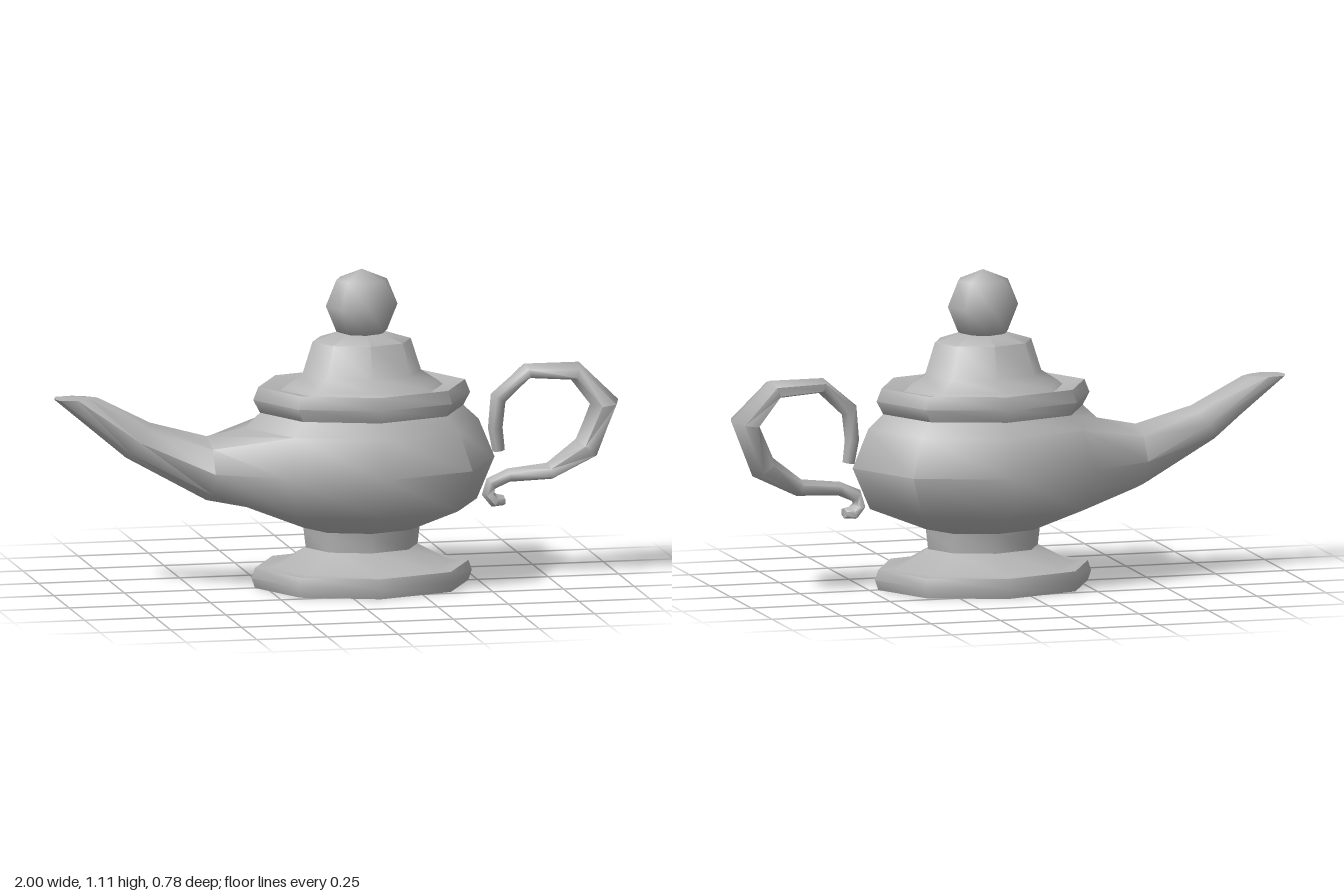
import * as THREE from 'three';
import { mergeGeometries, toCreasedNormals } from 'three/addons/utils/BufferGeometryUtils.js';

const CX = 0.09;      // axis of the turned parts
const STRETCH = 1.2;  // turned parts are longer along x than along z
const CREASE = 1.0;

// Eight-sided turned shape from [radius, height] pairs, listed bottom to top
function turned(profile, segments = 8, start = 0, sweep = Math.PI * 2) {
  const points = profile.map(([r, y]) => new THREE.Vector2(r, y));
  return new THREE.LatheGeometry(points, segments, start, sweep)
    .scale(STRETCH, 1, 1).translate(CX, 0, 0);
}

// Skin over closed rings of points, with optional end caps
function loft(rings, capStart, capEnd) {
  const n = rings[0].length;
  const tris = [];
  for (let i = 0; i < rings.length - 1; i++) {
    for (let k = 0; k < n; k++) {
      const a = rings[i][k], b = rings[i][(k + 1) % n];
      const c = rings[i + 1][k], d = rings[i + 1][(k + 1) % n];
      tris.push(a, c, b, b, c, d);
    }
  }
  const first = rings[0], last = rings[rings.length - 1];
  for (let k = 1; k < n - 1; k++) {
    if (capStart) tris.push(first[0], first[k], first[k + 1]);
    if (capEnd) tris.push(last[0], last[k + 1], last[k]);
  }
  return new THREE.BufferGeometry().setFromPoints(tris);
}

// Mirror half a ring (top, upper side, side, lower side, bottom) across z = 0
function mirroredRing(half) {
  const pts = half.map(p => new THREE.Vector3(...p));
  const back = pts.slice(1, -1).reverse().map(p => new THREE.Vector3(p.x, p.y, -p.z));
  return [...pts, ...back];
}

function bare(geometry) {
  const g = geometry.index ? geometry.toNonIndexed() : geometry;
  g.deleteAttribute('uv');
  g.deleteAttribute('normal');
  return g;
}

export function createModel() {
  const group = new THREE.Group();
  const metal = new THREE.MeshStandardMaterial({ color: 0xb4b4b4 });
  metal.name = 'grey metal';

  const add = (name, geometries, crease = CREASE) => {
    const merged = mergeGeometries(geometries.map(bare));
    const mesh = new THREE.Mesh(toCreasedNormals(merged, crease), metal);
    mesh.name = name;
    group.add(mesh);
  };

  // Foot: flat plate and flared stem
  add('foot', [turned([[0, 0], [0.315, 0], [0.325, 0.035], [0.315, 0.07], [0.265, 0.07],
    [0.165, 0.135], [0.172, 0.205]])]);

  // Bowl, left open where the spout grows out of its side
  const low = [0.34, 0.285], mid = [0.392, 0.43], high = [0.345, 0.565];
  const bowl = [
    turned([[0.172, 0.205], low]),
    turned([low, mid, high], 6, Math.PI * 1.75, Math.PI * 1.5),
    turned([high, [0.3, 0.615]]),
  ];

  // Spout: starts on the edge of the opening, narrows and turns up
  const h = Math.SQRT1_2;
  const edge = ([r, y]) => [CX - r * STRETCH * h, y, r * h];
  const front = ([r, y]) => [CX - r * STRETCH, y, 0];
  const spoutRings = [
    [front(high), edge(high), edge(mid), edge(low), front(low)],
    [[-0.46, 0.54, 0], [-0.46, 0.51, 0.105], [-0.46, 0.43, 0.155], [-0.46, 0.35, 0.115], [-0.46, 0.315, 0]],
    [[-0.66, 0.595, 0], [-0.673, 0.578, 0.05], [-0.705, 0.535, 0.075], [-0.735, 0.493, 0.055], [-0.745, 0.475, 0]],
    [[-0.845, 0.69, 0], [-0.88, 0.69, 0.034], [-0.925, 0.69, 0.055], [-0.985, 0.69, 0.045], [-1, 0.69, 0]],
  ].map(mirroredRing);
  add('bowlAndSpout', [...bowl, loft(spoutRings, false, true)]);

  // Collar and stepped lid
  add('collar', [turned([[0.28, 0.612], [0.3, 0.615], [0.32, 0.66], [0.305, 0.705], [0.235, 0.69]])]);
  add('lid', [turned([[0.24, 0.69], [0.225, 0.706], [0.175, 0.745], [0.145, 0.857], [0.07, 0.885], [0, 0.885]])]);

  // Knob
  add('knob', [new THREE.SphereGeometry(0.127, 8, 4).translate(CX, 0.98, 0)], 1.3);

  // Handle: [x, y, half thickness, half width] along a loop ending in a curl
  const path = [
    [0.575, 0.45, 0.022, 0.025], [0.563, 0.53, 0.026, 0.032], [0.573, 0.635, 0.03, 0.045],
    [0.675, 0.726, 0.027, 0.06], [0.845, 0.72, 0.034, 0.078], [0.949, 0.607, 0.05, 0.1],
    [0.885, 0.45, 0.048, 0.088], [0.755, 0.372, 0.03, 0.06], [0.61, 0.362, 0.024, 0.042],
    [0.548, 0.335, 0.024, 0.042], [0.537, 0.3, 0.022, 0.044], [0.56, 0.275, 0.024, 0.05],
    [0.592, 0.275, 0.018, 0.035],
  ];
  const handleRings = path.map(([x, y, thick, wide], i) => {
    const p = path[Math.max(i - 1, 0)], q = path[Math.min(i + 1, path.length - 1)];
    const t = new THREE.Vector2(q[0] - p[0], q[1] - p[1]).normalize();
    return Array.from({ length: 6 }, (_, k) => {
      const a = k * Math.PI / 3, c = Math.cos(a) * thick;
      return new THREE.Vector3(x + t.y * c, y - t.x * c, Math.sin(a) * wide);
    });
  });
  add('handle', [loft(handleRings, true, true)], 1.3);

  return group;
}
